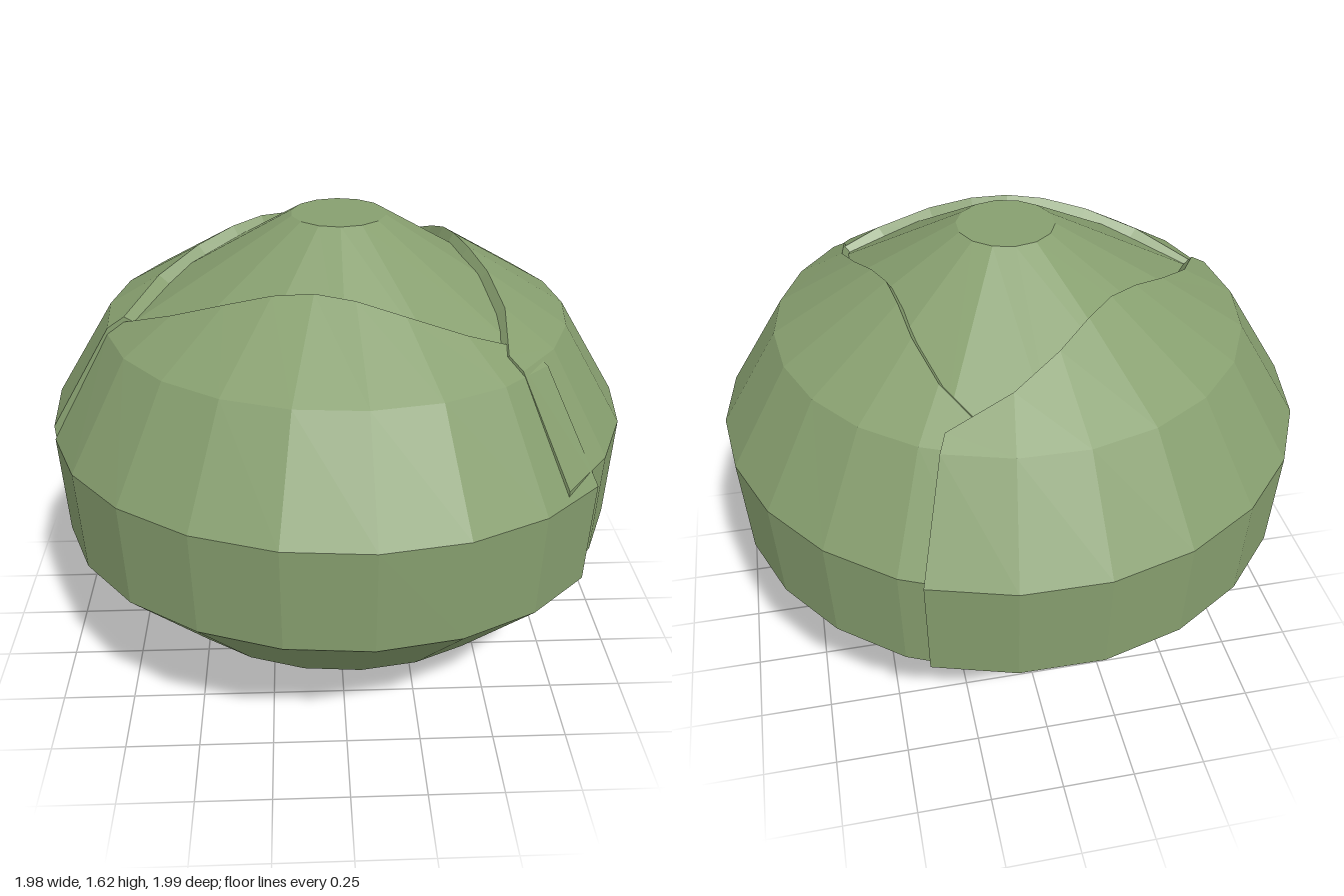
import * as THREE from 'three';

const leafGreen = new THREE.MeshStandardMaterial({ color: 0x879f6f, flatShading: true });
leafGreen.name = 'leafGreen';

// Half outlines [radius, height], bottom to top
const CORE = [[0, 0], [0.22, 0], [0.64, 0.265], [0.93, 0.58], [0.95, 0.93], [0.74, 1.28], [0.16, 1.62], [0, 1.62]];
const LEAF = [[0.26, 0.02], [0.68, 0.25], [0.985, 0.58], [1.0, 0.94], [0.79, 1.285], [0.35, 1.555]];

function radiusAt(y) {
  for (let i = 1; i < LEAF.length; i++) {
    const [r0, y0] = LEAF[i - 1], [r1, y1] = LEAF[i];
    if (y <= y1) return r0 + (r1 - r0) * (y - y0) / (y1 - y0);
  }
  return LEAF[LEAF.length - 1][0];
}

function faceted(geometry) {
  const g = geometry.toNonIndexed();
  g.computeVertexNormals();
  return g;
}

// A thick wrapping leaf: columns of points around the head, trimmed to a curved rim
function leafGeometry({ from, to, segments, scale, lift, droop, rim, foot }) {
  const pos = [], index = [];
  const rows = LEAF.length + 2;
  const column = (u, inside) => {
    const angle = THREE.MathUtils.degToRad(from + (to - from) * u);
    const bulge = Math.sin(Math.PI * u);
    const top = 1.32 + (rim - 1.32) * bulge;
    const shift = lift - droop * (1 - bulge);
    const heights = LEAF.map(p => Math.min(top, Math.max(foot, p[1])));
    heights[0] = foot;
    heights[heights.length - 1] = top;
    const put = (y, inner) => {
      const k = inner ? 0.92 : 1;
      const r = radiusAt(y) * scale * k;
      const h = 0.8 + (y - 0.8) * k + shift * Math.min(1, Math.max(0, (1.5 - y) * 2));
      pos.push(r * Math.cos(angle), h, r * Math.sin(angle));
    };
    put(heights[0], true);
    heights.forEach(y => put(y, inside));
    put(top, true);
  };
  column(0, true);
  for (let i = 0; i <= segments; i++) column(i / segments, false);
  column(1, true);
  for (let i = 0; i < segments + 2; i++) {
    for (let j = 0; j < rows - 1; j++) {
      const a = i * rows + j, b = a + rows;
      index.push(a, a + 1, b + 1, a, b + 1, b);
    }
  }
  const g = new THREE.BufferGeometry();
  g.setAttribute('position', new THREE.Float32BufferAttribute(pos, 3));
  g.setIndex(index);
  return faceted(g);
}

export function createModel() {
  const model = new THREE.Group();
  model.name = 'leafyHead';
  const add = (name, geometry) => {
    const mesh = new THREE.Mesh(geometry, leafGreen);
    mesh.name = name;
    model.add(mesh);
  };

  // Solid heart, showing at the crown and the base
  add('heart', faceted(new THREE.LatheGeometry(CORE.map(p => new THREE.Vector2(...p)), 14)));

  // Three overlapping outer leaves
  add('frontLeaf', leafGeometry({ from: 37, to: 167, segments: 8, scale: 1, lift: 0, droop: 0.035, rim: 1.5, foot: 0.07 }));
  add('backLeaf', leafGeometry({ from: 167, to: 295, segments: 8, scale: 0.998, lift: 0.025, droop: 0.01, rim: 1.51, foot: 0.12 }));
  add('leftLeaf', leafGeometry({ from: -75, to: 46, segments: 8, scale: 0.98, lift: 0.02, droop: 0.01, rim: 1.51, foot: 0.17 }));

  return model;
}
